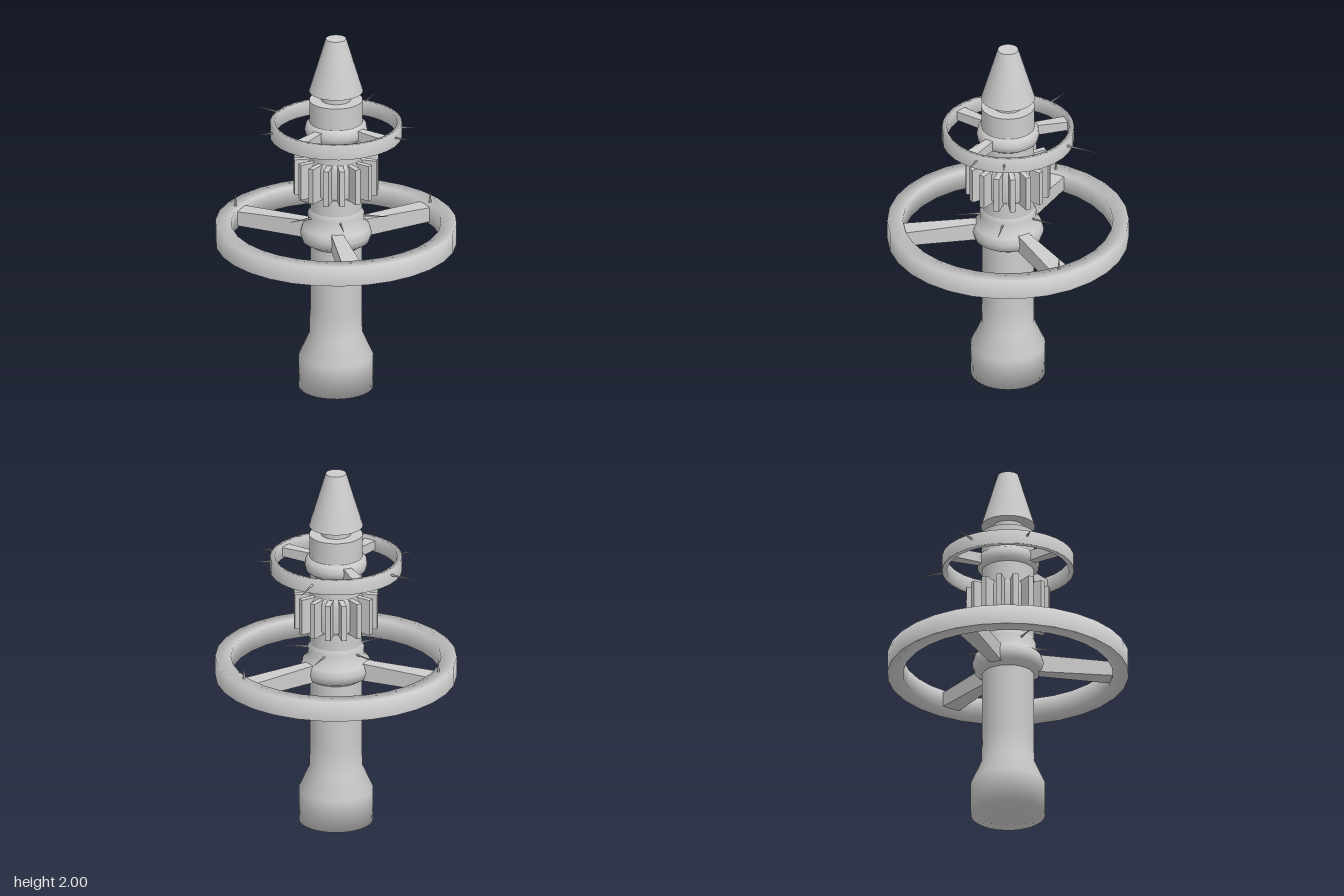
import * as THREE from 'three';

const hull = new THREE.MeshStandardMaterial({ color: 0xcccccc });
hull.name = 'hullGrey';

function add(parent, name, geometry) {
  const mesh = new THREE.Mesh(geometry, hull);
  mesh.name = name;
  parent.add(mesh);
  return mesh;
}

// Turned part; profile is [radius, height] from bottom to top on the outside
function turned(parent, name, profile, segments = 32) {
  const points = profile.map(([r, y]) => new THREE.Vector2(r, y));
  return add(parent, name, new THREE.LatheGeometry(points, segments));
}

// Ring with a rectangular section
function rim(parent, name, inner, outer, y0, y1) {
  turned(parent, name, [[outer, y0], [outer, y1], [inner, y1], [inner, y0], [outer, y0]], 30);
}

// Tapered spoke from point a to point b (each [x, z]) at height y
function spoke(parent, a, b, y, w0, w1, h0, h1) {
  const dx = b[0] - a[0], dz = b[1] - a[1];
  const geo = new THREE.BoxGeometry(1, 1, Math.hypot(dx, dz));
  const p = geo.attributes.position;
  for (let i = 0; i < p.count; i++) {
    const far = p.getZ(i) > 0;
    p.setX(i, p.getX(i) * (far ? w1 : w0));
    p.setY(i, p.getY(i) * (far ? h1 : h0));
  }
  geo.computeVertexNormals();
  const mesh = add(parent, 'spoke', geo);
  mesh.position.set((a[0] + b[0]) / 2, y, (a[1] + b[1]) / 2);
  mesh.rotation.y = Math.atan2(dx, dz);
}

// Thin tapering antenna between two points
function needle(parent, from, to, radius = 0.007) {
  const a = new THREE.Vector3(...from), b = new THREE.Vector3(...to);
  const dir = b.clone().sub(a);
  const mesh = add(parent, 'antenna', new THREE.CylinderGeometry(0.001, radius, dir.length(), 5));
  mesh.position.copy(a).add(b).multiplyScalar(0.5);
  mesh.quaternion.setFromUnitVectors(new THREE.Vector3(0, 1, 0), dir.normalize());
}

export function createModel() {
  const model = new THREE.Group();
  model.name = 'spaceStation';

  // Central tower
  turned(model, 'base', [[0, 0], [0.2, 0], [0.2, 0.18], [0.142, 0.31], [0.14, 0.45], [0.14, 0.84]]);
  turned(model, 'column', [[0.14, 0.84], [0.14, 1.2], [0.14, 1.46]]);
  turned(model, 'upperColumn', [[0.143, 1.46], [0.143, 1.65]]);
  turned(model, 'upperColumnTop', [[0.143, 1.65], [0, 1.65]]);
  turned(model, 'neck', [[0.08, 1.65], [0.08, 1.7]]);
  turned(model, 'noseUnderside', [[0, 1.7], [0.145, 1.7]]);
  turned(model, 'noseCone', [[0.145, 1.7], [0.055, 2]]);
  turned(model, 'noseTip', [[0.055, 2], [0, 2]]);

  // Large wheel with three spokes
  const large = new THREE.Group();
  large.name = 'largeWheel';
  model.add(large);
  rim(large, 'largeRim', 0.562, 0.647, 0.83, 0.94);
  turned(large, 'largeHub', [[0.14, 0.82], [0.18, 0.845], [0.192, 0.885], [0.18, 0.925],
    [0.15, 0.955], [0.152, 1.0], [0.14, 1.025]]);
  for (const [x, z] of [[0.057, 0.575], [0.505, -0.275], [-0.51, -0.27]]) {
    const k = 0.12 / Math.hypot(x, z);
    spoke(large, [x * k - (z > 0 ? 0.02 : 0), z * k], [x, z], 0.885, 0.06, 0.105, 0.1, 0.08);
  }
  for (const x of [-0.525, 0.518]) {
    needle(large, [x, 0.92, -0.265], [x, 1.01, -0.265], 0.01);
  }

  // Antennas around the collar
  for (let i = 0; i < 5; i++) {
    const a = THREE.MathUtils.degToRad(84 + 72 * i), c = Math.cos(a), s = Math.sin(a);
    needle(model, [0.13 * c, 0.99, 0.13 * s], [0.28 * c, 0.99, 0.28 * s]);
  }

  // Finned drum
  const drum = new THREE.Group();
  drum.name = 'finnedDrum';
  model.add(drum);
  turned(drum, 'drumCore', [[0.14, 1.12], [0.16, 1.14], [0.16, 1.3], [0.14, 1.32]]);
  for (let i = 0; i < 16; i++) {
    const a = (i / 16) * Math.PI * 2 + 0.1;
    const fin = add(drum, 'fin', new THREE.BoxGeometry(0.03, 0.2, 0.1));
    fin.position.set(0.177 * Math.sin(a), 1.22, 0.177 * Math.cos(a));
    fin.rotation.y = a;
  }

  // Small wheel with three spokes
  const small = new THREE.Group();
  small.name = 'smallWheel';
  model.add(small);
  rim(small, 'smallRim', 0.327, 0.354, 1.44, 1.52);
  turned(small, 'smallHub', [[0.14, 1.435], [0.162, 1.45], [0.168, 1.48], [0.162, 1.51], [0.143, 1.525]]);
  for (const [x, z] of [[-0.1, -0.322], [-0.215, 0.26], [0.262, 0.212]]) {
    spoke(small, [x * 0.36, z * 0.36], [x, z], 1.48, 0.04, 0.066, 0.06, 0.05);
  }
  for (const [x, z] of [[0.233, -0.47], [-0.4, -0.31], [-0.41, 0.09], [0.385, 0.215], [0.42, 0.03]]) {
    const k = 0.34 / Math.hypot(x, z);
    needle(small, [x * k, 1.49, z * k], [x, 1.49, z]);
  }
  return model;
}
